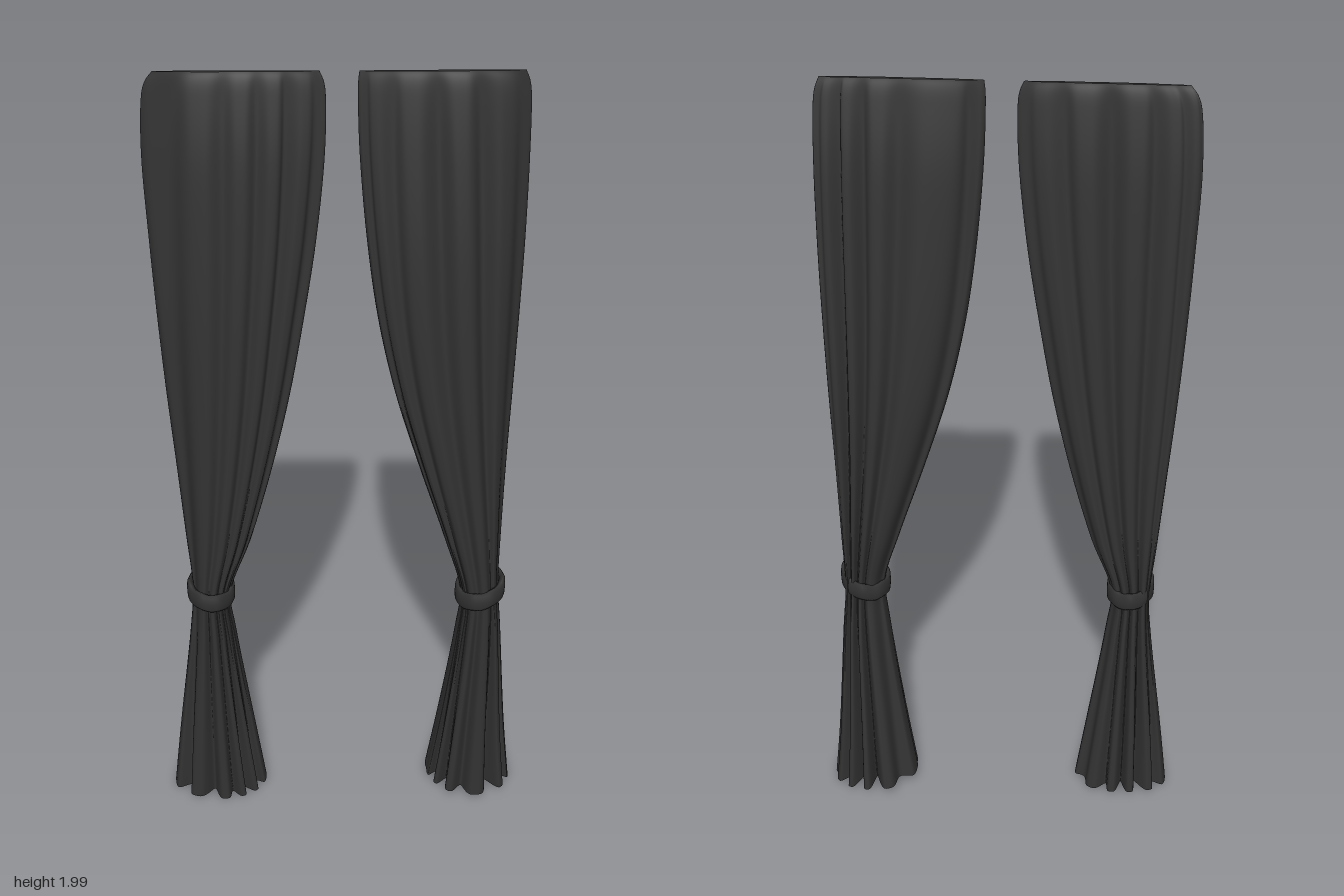
import * as THREE from 'three';

const cloth = new THREE.MeshStandardMaterial({ color: 0x333333, roughness: 0.9, side: THREE.DoubleSide });

// Skin a stack of closed loops; point(r, a) gives [x, y, z] for row r and angle a
function loft(rows, sides, point, closeRows = false) {
  const pos = [], index = [];
  for (let r = 0; r < rows; r++)
    for (let i = 0; i < sides; i++) pos.push(...point(r, (i / sides) * Math.PI * 2));
  const last = closeRows ? rows : rows - 1;
  for (let r = 0; r < last; r++)
    for (let i = 0; i < sides; i++) {
      const j = (i + 1) % sides, s = (r + 1) % rows;
      const a = r * sides + i, b = r * sides + j, c = s * sides + i, d = s * sides + j;
      index.push(a, b, c, b, d, c);
    }
  const g = new THREE.BufferGeometry();
  g.setAttribute('position', new THREE.Float32BufferAttribute(pos, 3));
  g.setIndex(index);
  g.computeVertexNormals();
  return g;
}

// Smooth interpolation through rows of numbers
function sample(rows, t) {
  const f = t * (rows.length - 1), k = Math.min(Math.floor(f), rows.length - 2), u = f - k;
  const at = (i) => rows[Math.max(0, Math.min(rows.length - 1, i))];
  return rows[0].map((_, n) => {
    const [p, a, b, q] = [at(k - 1)[n], at(k)[n], at(k + 1)[n], at(k + 2)[n]];
    const m0 = (b - p) / 2, m1 = (q - a) / 2;
    return a + u * (m0 + u * (3 * (b - a) - 2 * m0 - m1 + u * (2 * (a - b) + m0 + m1)));
  });
}

// Outline rows: height, x min, x max, z back, z front, fold depth
const leftRows = [
  [2.0, 0.036, 0.398, 0.036, 0.044, 0.2],
  [1.95, 0.033, 0.412, 0.024, 0.056, 0.5],
  [1.8, 0.038, 0.417, 0.0, 0.077, 0.55],
  [1.6, 0.055, 0.417, -0.018, 0.097, 0.5],
  [1.4, 0.082, 0.413, -0.033, 0.107, 0.45],
  [1.2, 0.125, 0.407, -0.042, 0.11, 0.42],
  [1.0, 0.185, 0.40, -0.043, 0.11, 0.4],
  [0.8, 0.25, 0.395, -0.04, 0.108, 0.36],
  [0.64, 0.295, 0.393, -0.028, 0.1, 0.3],
  [0.5, 0.287, 0.404, -0.045, 0.1, 0.42],
  [0.2, 0.25, 0.425, -0.08, 0.1, 0.55],
  [0.0, 0.222, 0.444, -0.1, 0.1, 0.6],
];
const rightRows = [
  [2.0, -0.413, -0.05, 0.036, 0.044, 0.2],
  [1.95, -0.438, -0.037, 0.024, 0.056, 0.5],
  [1.8, -0.447, -0.04, 0.004, 0.077, 0.55],
  [1.6, -0.441, -0.06, -0.01, 0.09, 0.5],
  [1.4, -0.432, -0.09, -0.02, 0.098, 0.45],
  [1.2, -0.42, -0.125, -0.026, 0.1, 0.42],
  [1.0, -0.405, -0.17, -0.03, 0.1, 0.4],
  [0.8, -0.39, -0.225, -0.03, 0.1, 0.36],
  [0.64, -0.378, -0.28, -0.026, 0.097, 0.3],
  [0.5, -0.388, -0.27, -0.035, 0.098, 0.42],
  [0.2, -0.424, -0.23, -0.05, 0.1, 0.55],
  [0.0, -0.446, -0.203, -0.06, 0.1, 0.6],
];

// Gathered panel with uneven pleats that pinch at the tie and splay at the hem
function panel(rows, seed, hem) {
  const count = 90, outward = Math.sign(rows[0][1]);
  return loft(count, 240, (r, a) => {
    const t = r / (count - 1);
    const [y, x0, x1, z0, z1, depth] = sample(rows, t);
    const warp = a + 0.16 * Math.sin(2 * a + seed) + 0.09 * Math.sin(3 * a + seed * 2 + t * 2);
    const crease = Math.pow(0.5 + 0.5 * Math.cos(11 * warp + seed), 2);
    const swell = 0.5 + 0.5 * Math.sin(3 * a + seed * 3 + t * 1.5);
    const cut = depth * crease * (0.6 + 0.4 * swell);
    const c = Math.cos(a), s = Math.sin(a), outer = Math.max(0, c * outward);
    const flare = THREE.MathUtils.smoothstep(t, 0.7, 1);
    const side = 1 - cut * (0.2 + 0.4 * flare) * (1 - Math.pow(Math.abs(c), 6));
    const x = (x0 + x1) / 2 + ((x1 - x0) / 2) * c * side;
    // The outer end is blunt and turned back towards the wall, the inner end tapers
    const round = Math.sign(s) * Math.pow(Math.abs(s), 0.85);
    const turn = 0.52 * Math.pow(outer, 3) * (1 - flare);
    const z = (z0 + z1) / 2 + ((z1 - z0) / 2) * (round * (1 - cut) - turn);
    // Uneven hem, lifted at the back and inner side
    const inner = (1 - c * outward) / 2;
    const lift = flare * flare * (0.006 + 0.004 * swell + 0.007 * (1 - s) + hem * inner);
    return [x, y + lift, z];
  });
}

// Soft flat band wrapped round the waist, tilted up on the outer side
function tieBand(cx, hw, slope) {
  const section = [[-0.006, 0.02], [0.004, 0.025], [0.009, 0.018], [0.01, 0], [0.009, -0.018], [0.004, -0.025], [-0.006, -0.02]];
  return loft(section.length, 64, (r, a) => {
    const [out, up] = section[r], c = Math.cos(a), s = Math.sin(a);
    const ripple = 0.002 * Math.sin(7 * a);
    return [
      cx + (hw + out) * c,
      0.642 + up + slope * c + ripple,
      0.037 + (0.063 + out + ripple) * s,
    ];
  }, true);
}

export function createModel() {
  const model = new THREE.Group();
  model.name = 'curtains';
  const add = (name, parts) => {
    const group = new THREE.Group();
    group.name = name;
    for (const [part, geometry] of parts) {
      const mesh = new THREE.Mesh(geometry, cloth);
      mesh.name = part;
      group.add(mesh);
    }
    model.add(group);
  };
  add('leftCurtain', [['leftPanel', panel(leftRows, 1.3, 0.02)], ['leftTieBand', tieBand(0.345, 0.053, 0.012)]]);
  add('rightCurtain', [['rightPanel', panel(rightRows, 4.1, 0.005)], ['rightTieBand', tieBand(-0.33, 0.05, -0.006)]]);
  return model;
}
